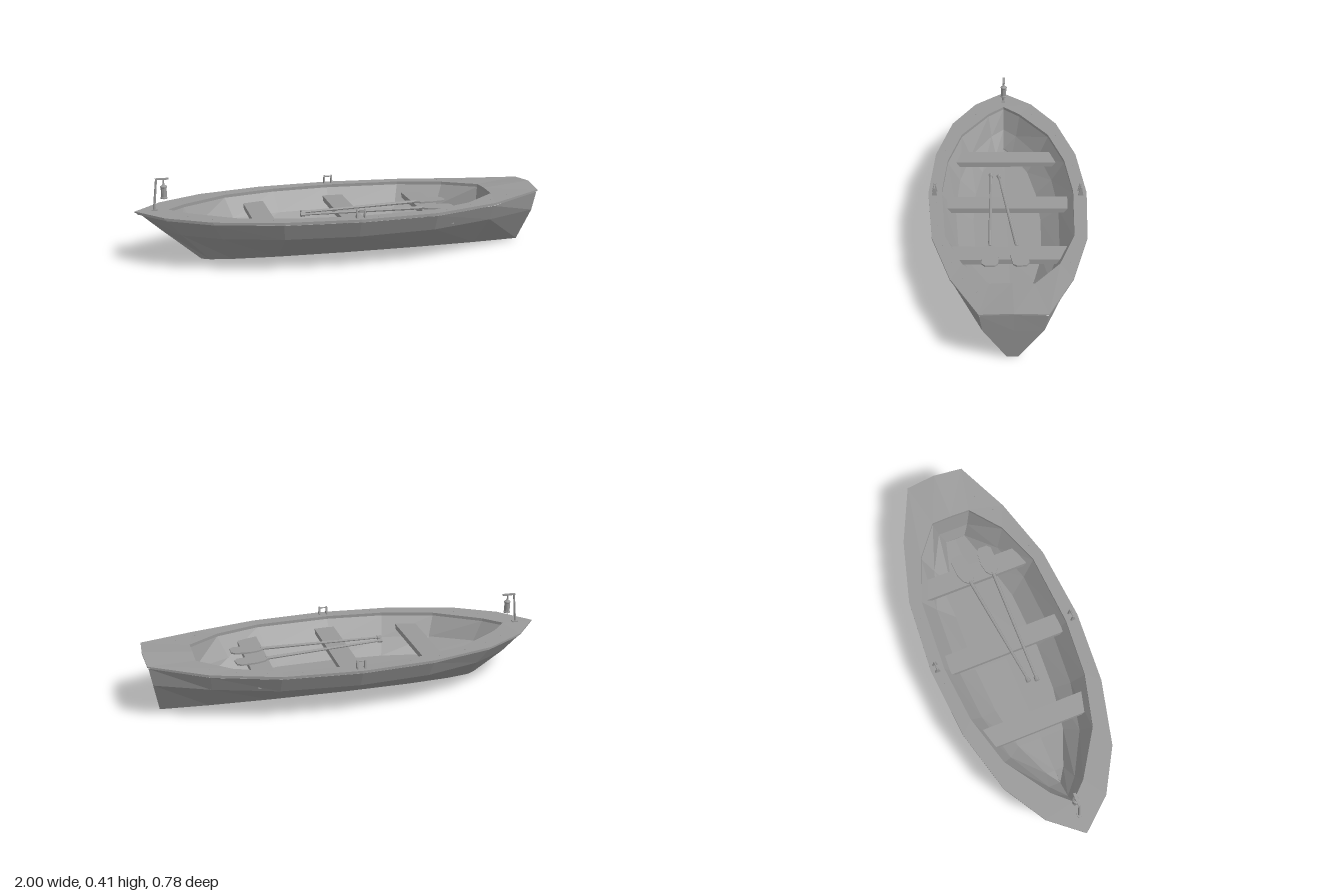
import * as THREE from 'three';

const mat = new THREE.MeshStandardMaterial({ color: 0x999999, flatShading: true });

// Skin over rows of [x, y, z] points, faceted
function skin(rows, flip = false) {
  const n = rows[0].length, index = [];
  for (let u = 0; u < rows.length - 1; u++) {
    for (let v = 0; v < n - 1; v++) {
      const a = u * n + v, b = a + n, c = b + 1, d = a + 1;
      index.push(...(flip ? [a, c, b, a, d, c] : [a, b, c, a, c, d]));
    }
  }
  const g = new THREE.BufferGeometry();
  g.setAttribute('position', new THREE.Float32BufferAttribute(rows.flat(2), 3));
  g.setIndex(index);
  const flat = g.toNonIndexed();
  flat.computeVertexNormals();
  return flat;
}

function add(parent, name, geometry, x = 0, y = 0, z = 0) {
  const mesh = new THREE.Mesh(geometry, mat);
  mesh.name = name;
  mesh.position.set(x, y, z);
  parent.add(mesh);
  return mesh;
}

// Round bar between two points
function bar(parent, name, from, to, r0, r1 = r0) {
  const a = new THREE.Vector3(...from), b = new THREE.Vector3(...to);
  const dir = b.clone().sub(a);
  const mesh = add(parent, name, new THREE.CylinderGeometry(r1, r0, dir.length(), 8));
  mesh.position.copy(a).add(b).multiplyScalar(0.5);
  mesh.quaternion.setFromUnitVectors(new THREE.Vector3(0, 1, 0), dir.normalize());
}

const outline = points => new THREE.Shape(points.map(p => new THREE.Vector2(...p)));
const mirrorZ = ([x, y, z]) => [x, y, -z];

// Half outlines from bow (-x) to stern (+x)
const rimOuter = [[-1, .258, 0], [-.87, .257, .155], [-.66, .256, .28], [-.34, .256, .363], [.02, .256, .391],
  [.4, .256, .363], [.72, .263, .274], [.99, .284, .149], [1, .297, 0]];
const rimInner = [[-.84, .258, 0], [-.76, .257, .085], [-.54, .256, .23], [-.28, .256, .3], [.01, .256, .325],
  [.385, .256, .303], [.605, .261, .222], [.76, .268, .1], [.76, .273, 0]];
const hullTop = [[-.975, .243, 0], [-.86, .242, .15], [-.655, .241, .273], [-.34, .24, .357], [.02, .24, .385],
  [.4, .24, .357], [.715, .247, .268], [.985, .272, .147]];
const hullMid = [[-.88, .16, 0], [-.79, .16, .125], [-.61, .16, .235], [-.33, .16, .315], [.02, .16, .342],
  [.4, .162, .315], [.71, .17, .232], [.968, .178, .133]];
const hullBase = [[-.69, 0, 0], [-.65, 0, .022], [-.54, 0, .041], [-.32, 0, .056], [.02, 0, .062],
  [.4, 0, .056], [.7, 0, .043], [.935, 0, .025]];

// Complete closed loop from a half outline that ends on the centreline
const closeLoop = half => [...half, ...half.slice(0, -1).reverse().map(mirrorZ)];

function buildHull(boat) {
  const sections = hullTop.map((t, i) => {
    const half = [t, hullMid[i], hullBase[i]];
    return [...half, ...half.slice().reverse().map(mirrorZ)];
  });
  add(boat, 'hull', skin(sections, true));

  const edge = [hullTop[7], hullMid[7], hullBase[7]];
  const centre = edge.map(([x, y], i) => [x, y + (i === 0 ? 0.013 : 0), 0]);
  add(boat, 'transom', skin([edge, centre, edge.map(mirrorZ)], true));

  // Rim board on a slightly smaller rubbing strip
  const outer = closeLoop(rimOuter), inner = closeLoop(rimInner);
  const drop = ([x, y, z], d) => [x, y - d, z];
  const shrink = ([x, y, z]) => [x * .99, y, z * .985];
  add(boat, 'gunwale', skin(outer.map((o, i) => {
    const strip = shrink(o);
    return [o, inner[i], drop(inner[i], .015), drop(strip, .015), drop(strip, .007), drop(o, .007), o];
  })));

  // Inside: steep side boards, sloping lower boards and floor; the stern end stays upright
  const inset = ([x, , z], s, w, y) => [x > .7 ? x - (1 - s) * .2 : (x + .04) * s - .04, y, z * w];
  add(boat, 'innerLining', skin(inner.map(p => {
    const floor = inset(p, 0.82, 0.52, 0.075);
    return [drop(p, .015), inset(p, 0.93, 0.79, 0.145), floor, [floor[0], 0.07, 0]];
  })));

  // Rivets along the rim
  for (let i = 1; i < 7; i++) {
    for (const t of [0.25, 0.75]) {
      for (const side of [1, -1]) {
        const p = [0, 1, 2].map(k => ((rimOuter[i][k] + rimInner[i][k]) * (1 - t)
          + (rimOuter[i + 1][k] + rimInner[i + 1][k]) * t) / 2);
        add(boat, 'rivet', new THREE.CylinderGeometry(.002, .002, .003, 6), p[0], p[1], p[2] * side);
      }
    }
  }
}

function buildOar(boat, name, handle, neck) {
  const oar = new THREE.Group();
  oar.name = name;
  const dx = neck[0] - handle[0], dz = neck[1] - handle[1], len = Math.hypot(dx, dz);
  bar(oar, 'oarShaft', [0, 0, 0], [len + 0.01, 0, 0], .006, .009);
  bar(oar, 'oarGrip', [-.01, 0, 0], [.012, 0, 0], .012, .01);
  const blade = outline([[0, -.012], [.025, -.032], [.07, -.042], [.145, -.038], [.162, -.022],
    [.162, .022], [.145, .038], [.07, .042], [.025, .032], [0, .012]]);
  const g = new THREE.ExtrudeGeometry(blade, { depth: .008, bevelEnabled: false });
  g.rotateX(Math.PI / 2);
  add(oar, 'oarBlade', g, len, .004, 0);
  oar.position.set(handle[0], .213, handle[1]);
  oar.rotation.y = -Math.atan2(dz, dx);
  boat.add(oar);
}

function buildOarlock(boat, side) {
  const lock = new THREE.Group();
  lock.name = side > 0 ? 'leftOarlock' : 'rightOarlock';
  const cheek = outline([[-.013, 0], [.013, 0], [.004, .043], [-.004, .043]]);
  const g = new THREE.ExtrudeGeometry(cheek, { depth: .007, bevelEnabled: false });
  g.translate(0, 0, -.0035).rotateY(Math.PI / 2);
  for (const x of [-.019, .019]) add(lock, 'oarlockCheek', g, x, 0, 0);
  bar(lock, 'oarlockPin', [-.019, .037, 0], [.019, .037, 0], .0035);
  lock.position.set(.023, .255, .36 * side);
  boat.add(lock);
}

function buildLantern(boat) {
  const lamp = new THREE.Group();
  lamp.name = 'lantern';
  add(lamp, 'postFoot', new THREE.BoxGeometry(.03, .008, .02), -.905, .26, 0);
  bar(lamp, 'post', [-.908, .258, 0], [-.892, .412, 0], .006, .005);
  add(lamp, 'postArm', new THREE.BoxGeometry(.065, .007, .013), -.865, .41, 0);
  bar(lamp, 'hanger', [-.858, .38, 0], [-.858, .41, 0], .004);
  const profile = [[0, .314], [.017, .314], [.017, .319], [.0145, .321], [.0145, .367], [.017, .369],
    [.017, .374], [.007, .38], [.004, .388], [0, .388]].map(p => new THREE.Vector2(...p));
  add(lamp, 'lanternBody', new THREE.LatheGeometry(profile, 10), -.858, 0, 0);
  boat.add(lamp);
}

export function createModel() {
  const model = new THREE.Group();
  model.name = 'rowingBoat';
  const boat = new THREE.Group();
  boat.name = 'boat';
  buildHull(boat);

  // Three benches across the boat, ending under the rim
  for (const [x, halfWidth] of [[-.393, .292], [.033, .335], [.45, .3]]) {
    add(boat, 'bench', new THREE.BoxGeometry(.104, .026, halfWidth * 2), x, .192, 0);
  }

  buildOar(boat, 'rightOar', [-.19, .038], [.4, -.032]);
  buildOar(boat, 'leftOar', [-.2, .079], [.4, .092]);
  buildOarlock(boat, 1);
  buildOarlock(boat, -1);
  buildLantern(boat);

  // Slight list to one side
  boat.rotation.x = -0.015;
  boat.position.set(0, 0.001, 0.003);
  model.add(boat);
  return model;
}
